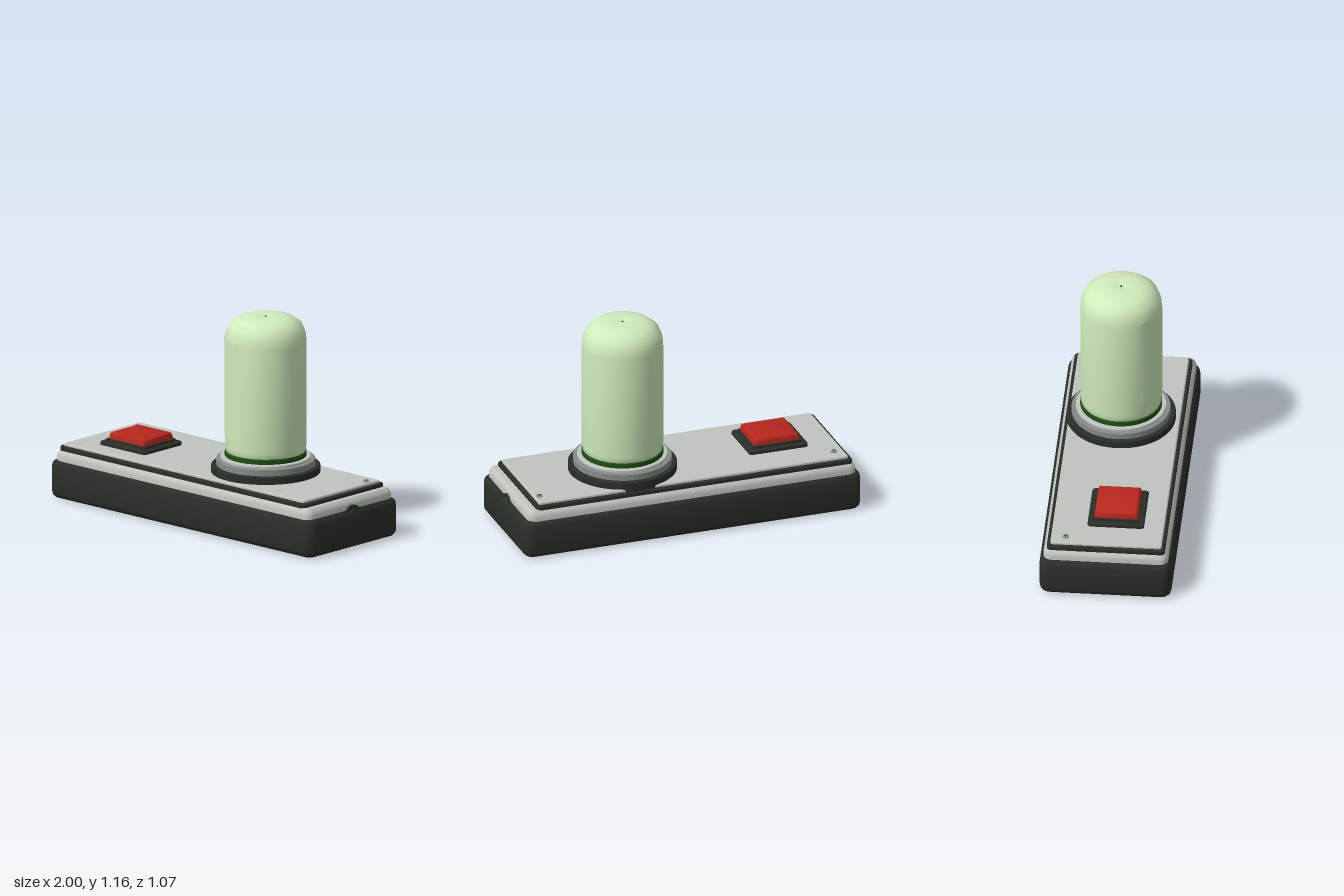
import * as THREE from 'three';
import { toCreasedNormals } from 'three/addons/utils/BufferGeometryUtils.js';

const mat = (color) => new THREE.MeshStandardMaterial({ color });
const DARK = mat(0x2a2f29), SILVER = mat(0xc0c5be), GREY = mat(0x858c86);
const RED = mat(0xb8281e), GREEN = mat(0x1f4d14), LAMP = mat(0xd0ecbc);
const LAMP_SHELL = mat(0xd0ecbc);
LAMP_SHELL.side = THREE.DoubleSide;

// Rounded rectangle lofted through [inset, y] steps, listed from bottom to top
function slab(length, width, radius, profile, segments = 5) {
  const pos = [], index = [];
  const n = 4 * (segments + 1);
  for (const [inset, y] of profile) {
    const r = Math.max(radius - inset, 0.004);
    const hx = length / 2 - inset - r, hz = width / 2 - inset - r;
    for (let c = 0; c < 4; c++) {
      const sx = c === 0 || c === 3 ? 1 : -1, sz = c < 2 ? 1 : -1;
      for (let i = 0; i <= segments; i++) {
        const a = (c + i / segments) * Math.PI / 2;
        pos.push(sx * hx + r * Math.cos(a), y, sz * hz + r * Math.sin(a));
      }
    }
  }
  const last = (profile.length - 1) * n;
  for (let k = 0; k < profile.length - 1; k++) {
    for (let i = 0; i < n; i++) {
      const a = k * n + i, b = k * n + (i + 1) % n;
      index.push(a, a + n, b, b, a + n, b + n);
    }
  }
  for (let i = 1; i < n - 1; i++) {
    index.push(0, i, i + 1);
    index.push(last, last + i + 1, last + i);
  }
  const geo = new THREE.BufferGeometry();
  geo.setAttribute('position', new THREE.Float32BufferAttribute(pos, 3));
  geo.setIndex(index);
  return toCreasedNormals(geo, 0.6);
}

function lathe(points, segments = 48) {
  const geo = new THREE.LatheGeometry(points.map(([x, y]) => new THREE.Vector2(x, y)), segments);
  return toCreasedNormals(geo, 0.6);
}

export function createModel() {
  const model = new THREE.Group();
  const device = new THREE.Group();
  device.name = 'device';
  device.rotation.y = -0.209;
  model.add(device);

  const add = (name, geo, material, x = 0, y = 0, z = 0, parent = device) => {
    const mesh = new THREE.Mesh(geo, material);
    mesh.name = name;
    mesh.position.set(x, y, z);
    parent.add(mesh);
    return mesh;
  };

  // Housing layers
  add('baseBody', slab(1.914, 0.706, 0.055, [
    [0.035, 0], [0.018, 0.005], [0.005, 0.018], [0, 0.035],
    [0, 0.18], [0.006, 0.197], [0.022, 0.21],
  ]), DARK);
  add('silverRim', slab(1.865, 0.668, 0.045, [
    [0, 0.2], [0, 0.235], [0.006, 0.25], [0.022, 0.265],
  ]), SILVER);
  add('gasket', slab(1.795, 0.632, 0.025, [[0, 0.255], [0, 0.28], [0.006, 0.286]]), DARK, -0.017);
  add('topPanel', slab(1.757, 0.596, 0.012, [[0, 0.275], [0, 0.295], [0.005, 0.3]]), SILVER, -0.017);

  // Push button
  add('buttonBezel', slab(0.332, 0.302, 0.018, [[0, 0.295], [0, 0.316], [0.008, 0.322]]), DARK, -0.569, 0, 0.039);
  add('buttonCollar', slab(0.282, 0.252, 0.012, [[0, 0.315], [0, 0.334]]), DARK, -0.569, 0, 0.039);
  add('button', slab(0.258, 0.234, 0.012, [
    [0, 0.32], [0, 0.345], [0.006, 0.364], [0.014, 0.37],
  ]), RED, -0.569, 0, 0.039);

  // Panel screws with crossed slots
  for (const x of [-0.839, 0.833]) {
    const screw = new THREE.Group();
    screw.name = 'screw';
    screw.position.set(x, 0.3, -0.219);
    device.add(screw);
    add('screwHead', lathe([[0.018, -0.005], [0.018, 0.003], [0.011, 0.008], [0, 0.009]], 16), GREY, 0, 0, 0, screw);
    for (const turn of [0, Math.PI / 2]) {
      add('screwSlot', new THREE.BoxGeometry(0.02, 0.003, 0.004), DARK, 0, 0.0085, 0, screw).rotation.y = turn;
    }
  }

  // Indicator on the end face
  const endDisc = (name, r, length, x, y, material) => {
    add(name, new THREE.CylinderGeometry(r, r, length, 32), material, x, y, 0).rotation.z = Math.PI / 2;
  };
  endDisc('indicatorHood', 0.06, 0.05, 0.92, 0.175, DARK);
  endDisc('indicatorLight', 0.04, 0.05, 0.927, 0.172, GREEN);

  // Lamp on its stepped collar
  const lamp = new THREE.Group();
  lamp.name = 'lamp';
  lamp.position.set(0.288, 0, -0.018);
  device.add(lamp);
  const ring = (name, r, y0, y1, material) => add(name, lathe([
    [0, y0], [r, y0], [r, y1 - 0.004], [r - 0.004, y1], [0, y1],
  ]), material, 0, 0, 0, lamp);
  ring('collarBase', 0.292, 0.285, 0.34, DARK);
  ring('collarMiddle', 0.265, 0.335, 0.376, GREY);
  ring('collarTop', 0.243, 0.37, 0.391, SILVER);
  ring('lampSeal', 0.219, 0.385, 0.418, GREEN);
  add('lampDome', lathe([
    [0.205, 0.405], [0.214, 0.42], [0.218, 0.45], [0.218, 1.02], [0.214, 1.065],
    [0.195, 1.113], [0.155, 1.145], [0.11, 1.157], [0.06, 1.162], [0.025, 1.16], [0, 1.152],
  ]), LAMP, 0, 0, 0, lamp);
  add('domePip', new THREE.SphereGeometry(0.008, 12, 8), DARK, 0, 1.15, 0, lamp);

  // Thin raised highlight shell on the front left of the dome
  add('domeHighlight', new THREE.CylinderGeometry(0.2215, 0.2215, 0.53, 16, 1, true, -1.0, 1.03),
    LAMP_SHELL, 0, 0.775, 0, lamp);

  return model;
}
